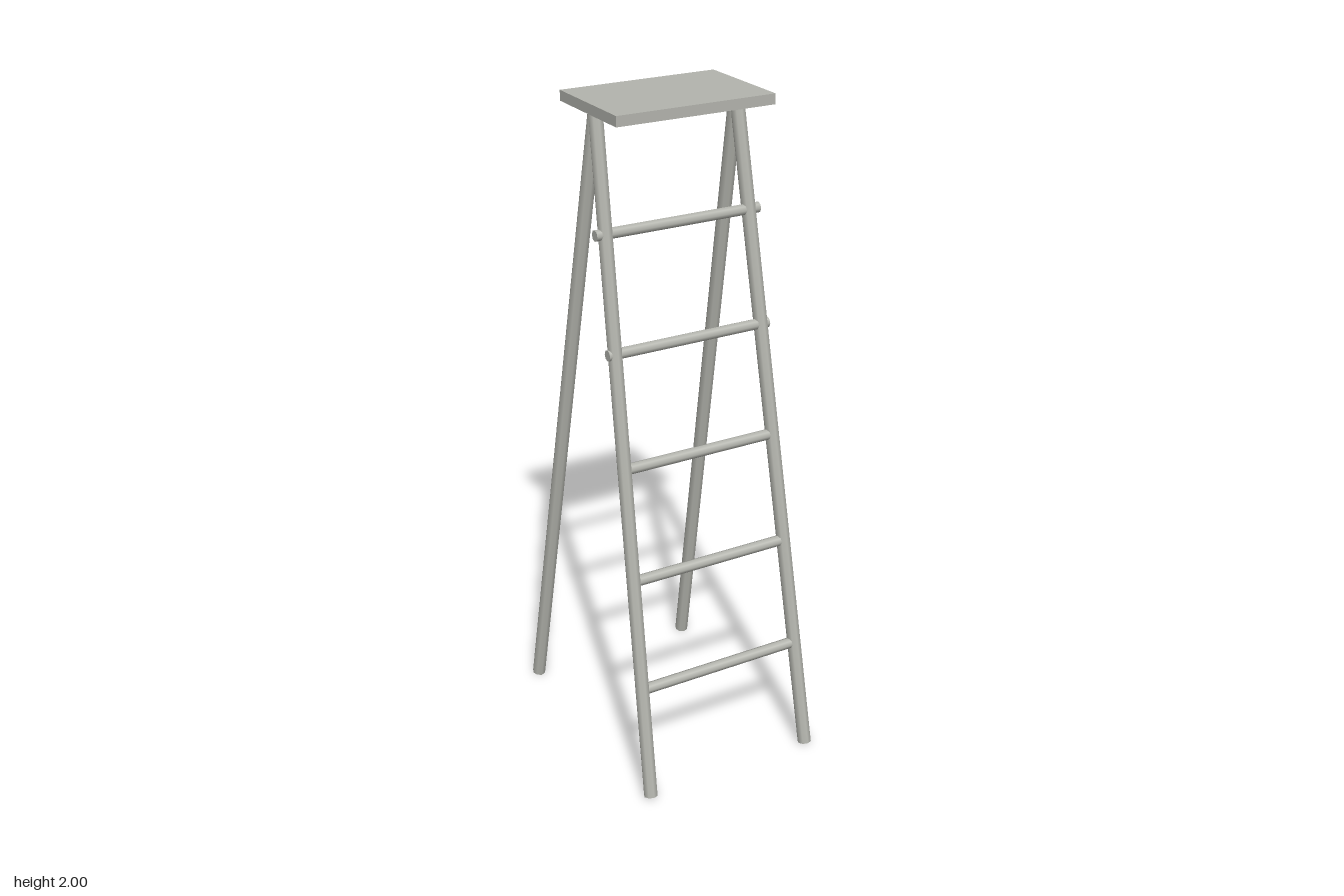
import * as THREE from 'three';

export function createModel() {
  const group = new THREE.Group();
  const metal = new THREE.MeshStandardMaterial({ color: 0xb4b5ae });
  metal.name = 'light grey metal';

  function add(name, geometry) {
    const mesh = new THREE.Mesh(geometry, metal);
    mesh.name = name;
    group.add(mesh);
    return mesh;
  }

  // Round bar between two points
  function bar(name, from, to, radius, sides) {
    const dir = to.clone().sub(from);
    const mesh = add(name, new THREE.CylinderGeometry(radius, radius, dir.length(), sides));
    mesh.position.copy(from).add(to).multiplyScalar(0.5);
    mesh.quaternion.setFromUnitVectors(new THREE.Vector3(0, 1, 0), dir.normalize());
  }

  // Top platform
  add('platform', new THREE.BoxGeometry(0.49, 0.03, 0.326)).position.y = 1.985;

  // Four splayed legs meeting in pairs under the platform
  for (const sx of [1, -1]) {
    for (const sz of [1, -1]) {
      bar(
        (sz > 0 ? 'front' : 'back') + (sx > 0 ? 'Left' : 'Right') + 'Leg',
        new THREE.Vector3(sx * 0.274, 0.004, sz * 0.382),
        new THREE.Vector3(sx * 0.221, 1.975, 0),
        0.021, 8
      );
    }
  }

  // Rungs of equal length following the slope of the front legs
  for (let i = 0; i < 5; i++) {
    const y = 0.336 + i * 0.3285;
    const z = 0.317 - i * 0.0636;
    bar('rung' + (i + 1), new THREE.Vector3(-0.262, y, z), new THREE.Vector3(0.262, y, z), 0.0165, 8);
  }

  return group;
}
